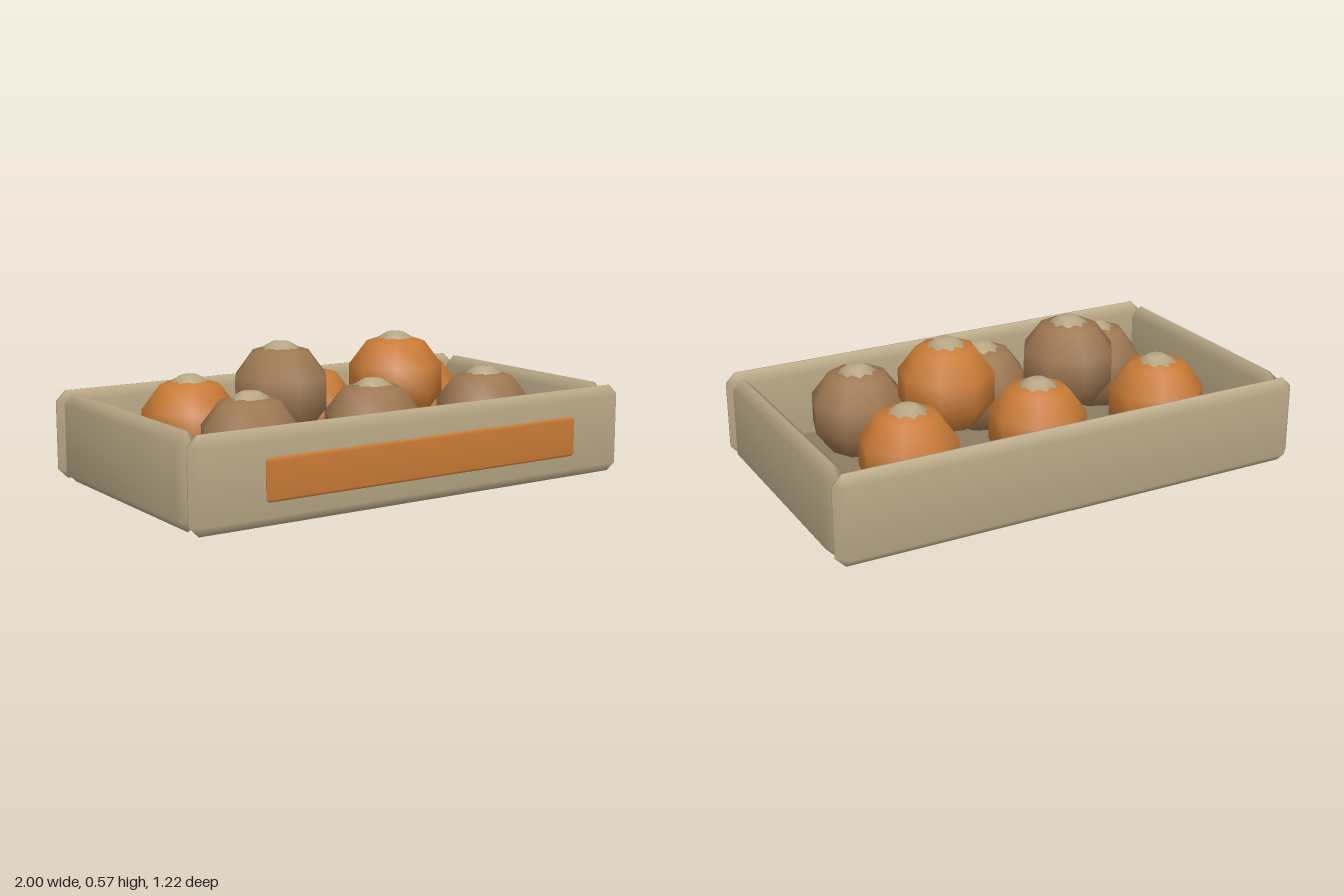
import * as THREE from 'three';
import { mergeVertices } from 'three/addons/utils/BufferGeometryUtils.js';
import { ConvexGeometry } from 'three/addons/geometries/ConvexGeometry.js';

const material = (name, color) => {
  const m = new THREE.MeshStandardMaterial({ color });
  m.name = name;
  return m;
};

// Box with single chamfers on every edge, softened by smooth normals
function chamferBox(w, h, d, c) {
  const half = [w / 2, h / 2, d / 2], points = [];
  for (const sx of [-1, 1]) for (const sy of [-1, 1]) for (const sz of [-1, 1]) {
    for (let axis = 0; axis < 3; axis++) {
      const p = half.map((v, i) => (i === axis ? v : v - c));
      points.push(new THREE.Vector3(p[0] * sx, p[1] * sy, p[2] * sz));
    }
  }
  let geometry = new ConvexGeometry(points);
  geometry.deleteAttribute('normal');
  geometry = mergeVertices(geometry, 1e-4);
  geometry.computeVertexNormals();
  return geometry;
}

export function createModel() {
  const model = new THREE.Group();
  model.name = 'produceCrate';
  const wood = material('paleWood', 0xb8a785);
  const floorWood = material('floorWood', 0x8c7c64);
  const orange = material('orange', 0xc87a35);
  const brown = material('brown', 0x9c7650);

  const add = (parent, name, geometry, mat, x, y, z) => {
    const mesh = new THREE.Mesh(geometry, mat);
    mesh.name = name;
    mesh.position.set(x, y, z);
    parent.add(mesh);
    return mesh;
  };

  // Crate
  const midZ = -0.0125;
  add(model, 'floor', new THREE.BoxGeometry(1.83, 0.05, 1.025), floorWood, 0, 0.025, midZ);
  const longWall = chamferBox(2, 0.36, 0.087, 0.04);
  add(model, 'frontWall', longWall, wood, 0, 0.18, 0.5445);
  add(model, 'backWall', longWall, wood, 0, 0.18, -0.5685);
  const sideWall = chamferBox(0.087, 0.36, 1.025, 0.04);
  add(model, 'leftWall', sideWall, wood, 0.9565, 0.18, midZ);
  add(model, 'rightWall', sideWall, wood, -0.9565, 0.18, midZ);
  add(model, 'frontLabel', chamferBox(1.44, 0.16, 0.024, 0.011), orange, 0, 0.18, 0.601);

  // Fruit: faceted body with a pale cap
  const body = new THREE.SphereGeometry(0.203, 8, 5);
  body.scale(1, 0.96, 1);
  const cap = new THREE.LatheGeometry([
    [0.06, 0.12], [0.1, 0.157], [0.035, 0.194], [0, 0.196],
  ].map(([r, y]) => new THREE.Vector2(r, y)), 9);

  const addFruit = (mat, x, y, z, turn) => {
    const fruit = new THREE.Group();
    fruit.name = 'fruit';
    fruit.position.set(x, y, z);
    fruit.rotation.y = THREE.MathUtils.degToRad(turn);
    add(fruit, 'fruitBody', body, mat, 0, 0, 0);
    add(fruit, 'fruitCap', cap, wood, 0, 0, 0);
    model.add(fruit);
  };

  // Bottom layer in two rows, top layer nestled between
  [-0.56, 0, 0.56].forEach((x, i) => {
    addFruit(brown, x, 0.235, 0.22, i * 3);
    addFruit(orange, x, 0.235, -0.257, 20 - i * 4);
  });
  addFruit(brown, -0.28, 0.375, -0.017, -9);
  addFruit(orange, 0.28, 0.375, -0.017, 11);

  return model;
}
